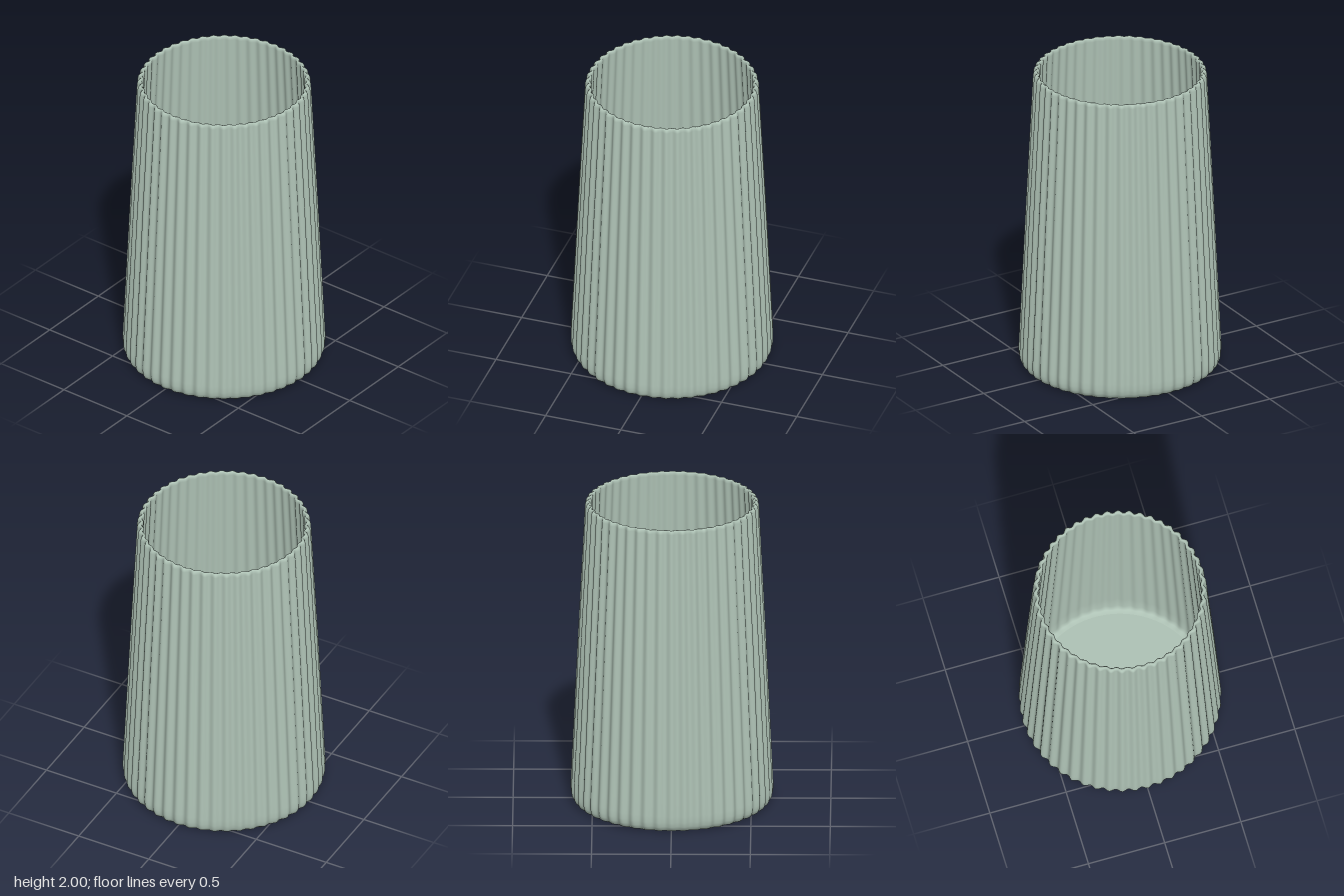
import * as THREE from 'three';
import { mergeVertices } from 'three/addons/utils/BufferGeometryUtils.js';

const RIBS = 48;

// Revolves rows of [radius, height, rib depth] and ripples each ring into flutes
function flutedLathe(rows) {
  const points = rows.map(([r, y]) => new THREE.Vector2(r, y));
  let geometry = new THREE.LatheGeometry(points, RIBS * 10);
  const pos = geometry.attributes.position;
  for (let i = 0; i < pos.count; i++) {
    const [r, , depth] = rows[i % rows.length];
    const angle = Math.atan2(pos.getX(i), pos.getZ(i));
    const radius = r + depth * Math.cos(angle * RIBS);
    pos.setX(i, Math.sin(angle) * radius);
    pos.setZ(i, Math.cos(angle) * radius);
  }
  // Weld the seam so the shading stays smooth all round
  geometry.deleteAttribute('uv');
  geometry.deleteAttribute('normal');
  geometry = mergeVertices(geometry, 1e-5);
  geometry.computeVertexNormals();
  return geometry;
}

export function createModel() {
  const group = new THREE.Group();
  group.name = 'flutedVase';
  const sage = new THREE.MeshStandardMaterial({ color: 0xafc3b6 });
  sage.name = 'sage green';

  const add = (name, geometry) => {
    const mesh = new THREE.Mesh(geometry, sage);
    mesh.name = name;
    group.add(mesh);
    return mesh;
  };

  // Tapered outer wall, rounded foot and rim, then the inner wall
  add('flutedWall', flutedLathe([
    [0.585, 0, 0.003],
    [0.602, 0.006, 0.005],
    [0.616, 0.018, 0.007],
    [0.625, 0.04, 0.0085],
    [0.629, 0.07, 0.009],
    [0.629, 0.11, 0.009],
    [0.625, 0.2, 0.009],
    [0.583, 1.1, 0.009],
    [0.539, 1.975, 0.009],
    [0.536, 1.99, 0.008],
    [0.53, 1.998, 0.007],
    [0.524, 2, 0.006],
    [0.518, 1.997, 0.005],
    [0.513, 1.99, 0.005],
    [0.513, 1.975, 0.005],
    [0.555, 1.1, 0.005],
    [0.599, 0.2, 0.005],
    [0.599, 0.08, 0.004],
    [0.585, 0.045, 0.002],
    [0.56, 0.04, 0],
  ]));

  // Flat inner floor
  const floor = add('innerFloor', new THREE.CircleGeometry(0.562, 96));
  floor.rotation.x = -Math.PI / 2;
  floor.position.y = 0.04;

  // Flat underside
  const base = add('underside', new THREE.CircleGeometry(0.587, 96));
  base.rotation.x = Math.PI / 2;

  return group;
}
